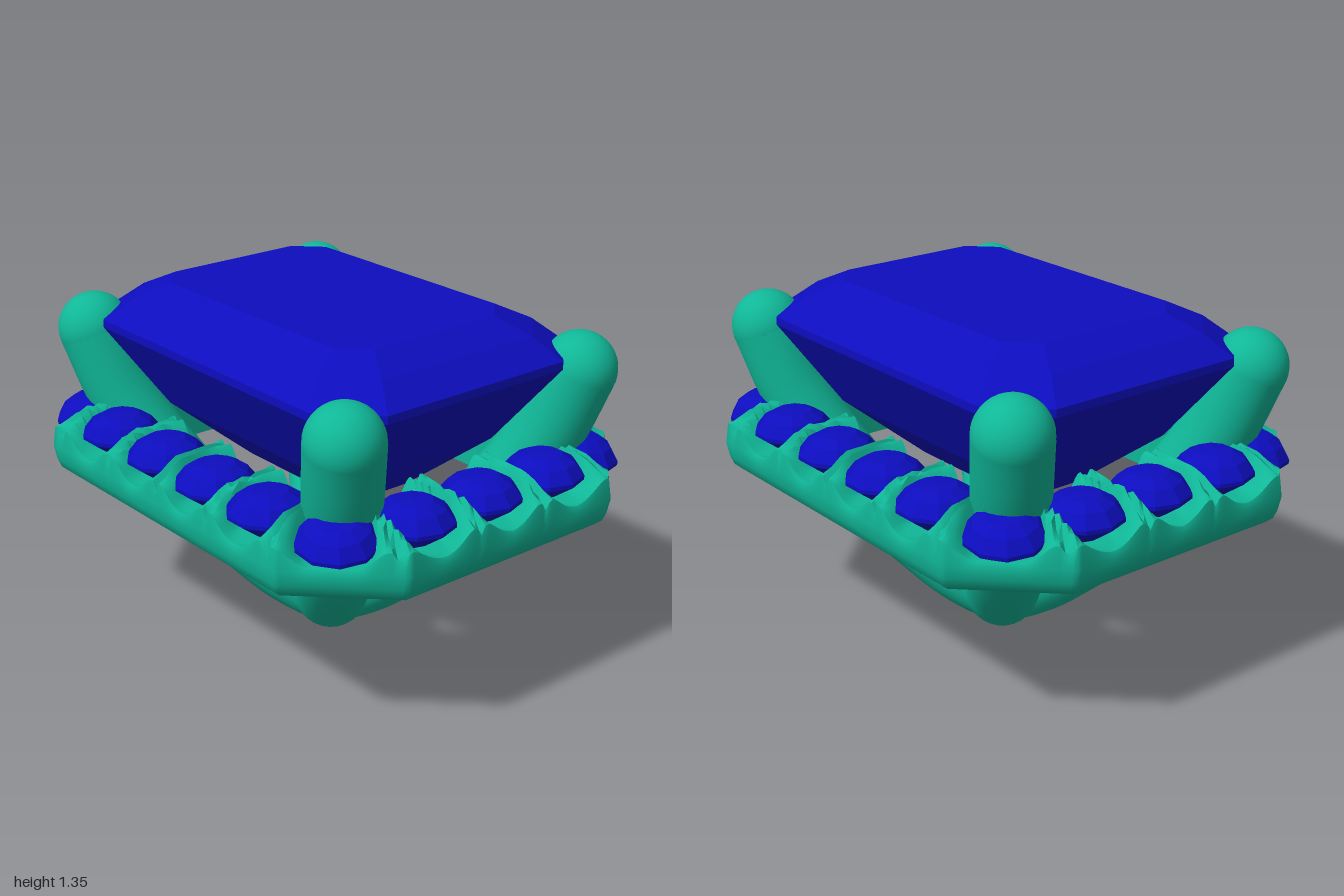
import * as THREE from 'three';
import { toCreasedNormals } from 'three/addons/utils/BufferGeometryUtils.js';

const metal = new THREE.MeshStandardMaterial({ color: 0x10b798 });
const gem = new THREE.MeshStandardMaterial({ color: 0x0d0dbf, flatShading: true });

// Rectangle with cut corners (half width a, half depth b), anticlockwise from above
function octagon(a, b, cx, cz) {
  const x = a - cx, z = b - cz;
  return [[a, z], [a, -z], [x, -b], [-x, -b], [-a, -z], [-a, z], [-x, b], [x, b]];
}

// Skin a stack of closed rings; wrap joins last to first, otherwise both ends are capped
function loft(rings, wrap) {
  const n = rings[0].length, pos = rings.flat(2), idx = [];
  for (let i = 0; i < rings.length - (wrap ? 0 : 1); i++) {
    const k = (i + 1) % rings.length;
    for (let j = 0; j < n; j++) {
      const m = (j + 1) % n;
      idx.push(i * n + j, i * n + m, k * n + m, i * n + j, k * n + m, k * n + j);
    }
  }
  if (!wrap) {
    const top = (rings.length - 1) * n;
    for (let j = 1; j < n - 1; j++) idx.push(0, j + 1, j, top, top + j, top + j + 1);
  }
  const g = new THREE.BufferGeometry();
  g.setAttribute('position', new THREE.Float32BufferAttribute(pos, 3));
  g.setIndex(idx);
  g.computeVertexNormals();
  return g;
}

// Positions of the small stones around the halo
const stones = [];
for (const s of [-1, 1]) {
  for (const x of [-0.31, 0, 0.31]) stones.push([x, s * 0.82, 0.81]);
  for (const z of [-0.455, -0.152, 0.152, 0.455]) stones.push([s * 0.635, z, 0.81]);
  for (const t of [-1, 1]) stones.push([s * 0.575, t * 0.745, 0.79]);
}

// Top of the halo: cups under the stones, split ridges between them
function haloHeight(x, z, v) {
  const d = stones.map(([sx, sz]) => Math.hypot(x - sx, z - sz)).sort((p, q) => p - q);
  const r = d[0] / d[1];
  const peak = 0.81 + 0.075 * THREE.MathUtils.smoothstep(v, 0, 0.4);
  const rise = THREE.MathUtils.smoothstep(r, 0.42, 0.85);
  const groove = 0.035 * THREE.MathUtils.smoothstep(r, 0.87, 1);
  return 0.745 + (peak - 0.745) * rise - groove;
}

function haloGeometry() {
  const outer = octagon(0.8, 1, 0.32, 0.31), inner = octagon(0.48, 0.66, 0.17, 0.17);
  const lerp = THREE.MathUtils.lerp;
  const ring = (v, height) => {
    const pts = [];
    for (let e = 0; e < 8; e++) {
      const count = [72, 24, 56, 24][e % 4], f = (e + 1) % 8;
      for (let i = 0; i < count; i++) {
        const t = i / count;
        const x = lerp(lerp(outer[e][0], outer[f][0], t), lerp(inner[e][0], inner[f][0], t), v);
        const z = lerp(lerp(outer[e][1], outer[f][1], t), lerp(inner[e][1], inner[f][1], t), v);
        pts.push([x, height ?? haloHeight(x, z, v), z]);
      }
    }
    return pts;
  };
  const rings = [ring(0.14, 0.62), ring(0.07, 0.64), ring(0.03, 0.675), ring(0, 0.73)];
  for (const v of [0.03, 0.08, 0.16, 0.25, 0.35, 0.45, 0.55, 0.65, 0.75, 0.85, 0.94, 1]) rings.push(ring(v));
  rings.push(ring(1, 0.62));
  return toCreasedNormals(loft(rings, true), 0.9);
}

export function createModel() {
  const model = new THREE.Group();
  const add = (name, geometry, material, x = 0, y = 0, z = 0) => {
    const mesh = new THREE.Mesh(geometry, material);
    mesh.name = name;
    mesh.position.set(x, y, z);
    model.add(mesh);
    return mesh;
  };

  // Step-cut centre stone: pavilion, girdle, crown, table
  const levels = [
    [0.66, 0.16, 0.32, 0.05], [0.88, 0.41, 0.58, 0.12], [1.18, 0.59, 0.8, 0.18],
    [1.21, 0.59, 0.8, 0.18], [1.29, 0.5, 0.7, 0.15], [1.35, 0.38, 0.58, 0.1],
  ];
  add('centreStone', loft(levels.map(([y, a, b, c]) =>
    octagon(a, b, c, c).map(([x, z]) => [x, y, z])), false), gem);

  // Scalloped halo and its small faceted stones
  add('halo', haloGeometry(), metal);
  const cut = [[0, -0.11], [0.15, 0], [0.15, 0.015], [0.115, 0.06], [0.07, 0.085], [0, 0.09]];
  const stoneGeometry = new THREE.LatheGeometry(cut.map(([r, y]) => new THREE.Vector2(r, y)), 10);
  for (const [x, z, y] of stones) {
    const stone = add('haloStone', stoneGeometry, gem, x, y, z);
    if (y < 0.8) { // corner stones lean outward
      stone.rotation.set(Math.sign(z) * 0.12, 0, -Math.sign(x) * 0.12);
    }
  }

  // Two crossing wires that rise from the base and end as rounded prongs
  const half = [[0.09, 0.195], [0.18, 0.3], [0.29, 0.455], [0.385, 0.625], [0.485, 0.88], [0.55, 1.14]];
  const tip = new THREE.SphereGeometry(0.14, 32, 20);
  for (const s of [-1, 1]) {
    const point = ([x, y], k) => new THREE.Vector3(k * x, y, k * s * x * 1.365);
    const path = new THREE.CatmullRomCurve3([
      ...half.map((p) => point(p, -1)).reverse(), point([0, 0.142], 1), ...half.map((p) => point(p, 1)),
    ]);
    add('basketWire', new THREE.TubeGeometry(path, 80, 0.14, 28), metal);
    for (const k of [-1, 1]) add('prongTip', tip, metal, k * 0.55, 1.14, k * s * 0.75);
  }
  return model;
}
